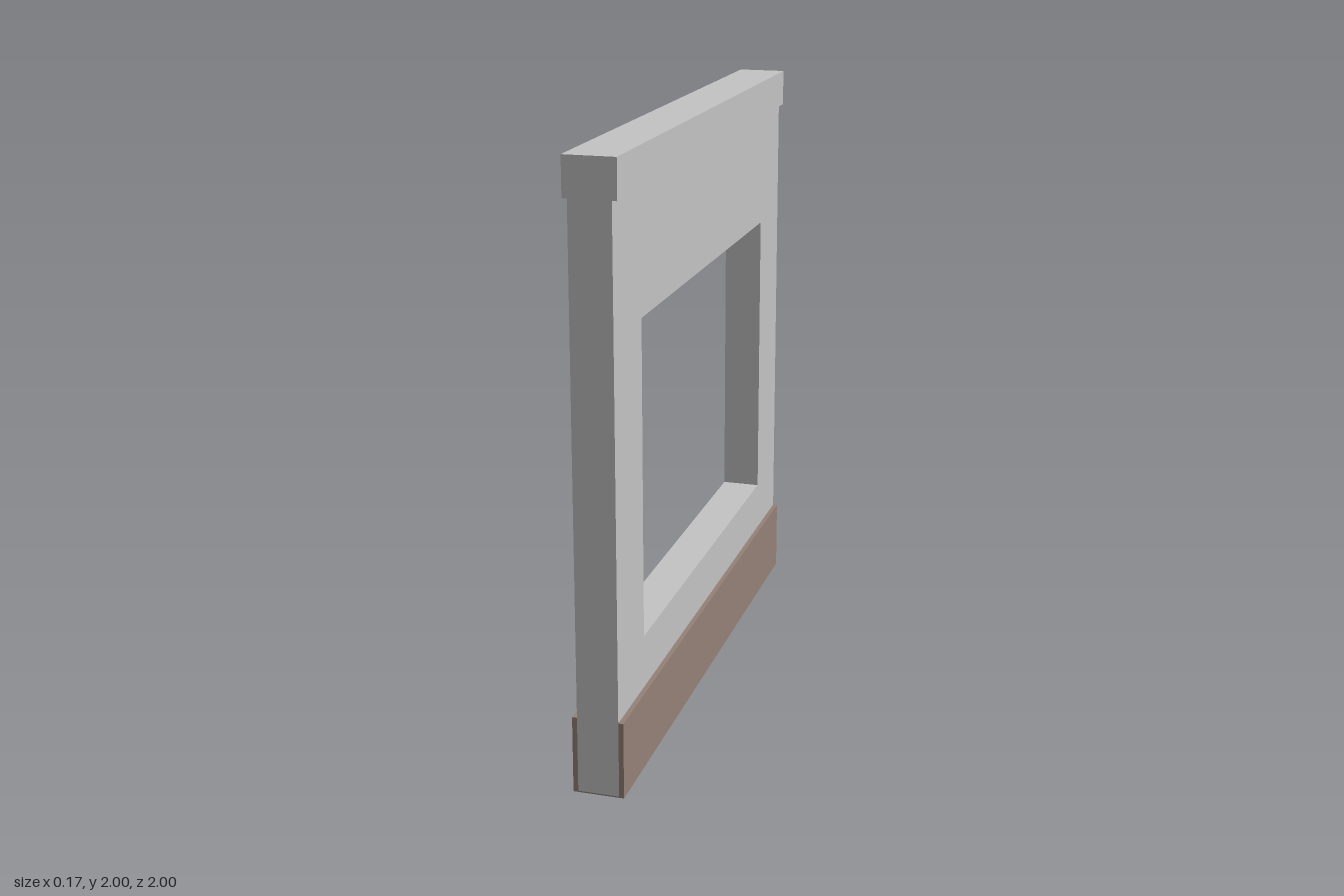
import * as THREE from 'three';

const HALF_LENGTH = 1, HEIGHT = 2;
const WALL_HALF = 0.067, TRIM_HALF = 0.083;
const CAP_BOTTOM = 1.875, SKIRT_TOP = 0.255, BASE = 0.004;

export function createModel() {
  const plaster = new THREE.MeshStandardMaterial({ color: 0xc4c4c4 });
  plaster.name = 'plaster grey';
  const wood = new THREE.MeshStandardMaterial({ color: 0x968177 });
  wood.name = 'skirting brown';

  const group = new THREE.Group();
  group.name = 'windowWall';

  // Box given by its x and y extents, running the full wall length
  const addBar = (name, x0, x1, y0, y1, material) => {
    const bar = new THREE.Mesh(new THREE.BoxGeometry(x1 - x0, y1 - y0, HALF_LENGTH * 2), material);
    bar.position.set((x0 + x1) / 2, (y0 + y1) / 2, 0);
    bar.name = name;
    group.add(bar);
  };

  // Rectangle path for the wall outline and its opening
  const rect = (path, x0, y0, x1, y1) => {
    path.moveTo(x0, y0);
    path.lineTo(x1, y0);
    path.lineTo(x1, y1);
    path.lineTo(x0, y1);
    path.closePath();
    return path;
  };

  // Wall panel with a window opening
  const outline = rect(new THREE.Shape(), -HALF_LENGTH, BASE, HALF_LENGTH, CAP_BOTTOM);
  outline.holes.push(rect(new THREE.Path(), -0.735, 0.43, 0.735, 1.47));
  const panel = new THREE.ExtrudeGeometry(outline, { depth: WALL_HALF * 2, bevelEnabled: false });
  panel.translate(0, 0, -WALL_HALF);
  panel.rotateY(Math.PI / 2);
  const wall = new THREE.Mesh(panel, plaster);
  wall.name = 'wall';
  group.add(wall);

  // Wider rail along the top
  addBar('topRail', -TRIM_HALF, TRIM_HALF, CAP_BOTTOM, HEIGHT, plaster);

  // Skirting on both faces and the thin brown underside
  addBar('leftSkirting', WALL_HALF, TRIM_HALF, 0, SKIRT_TOP, wood);
  addBar('rightSkirting', -TRIM_HALF, -WALL_HALF, 0, SKIRT_TOP, wood);
  addBar('underside', -WALL_HALF, WALL_HALF, 0, BASE, wood);

  return group;
}
